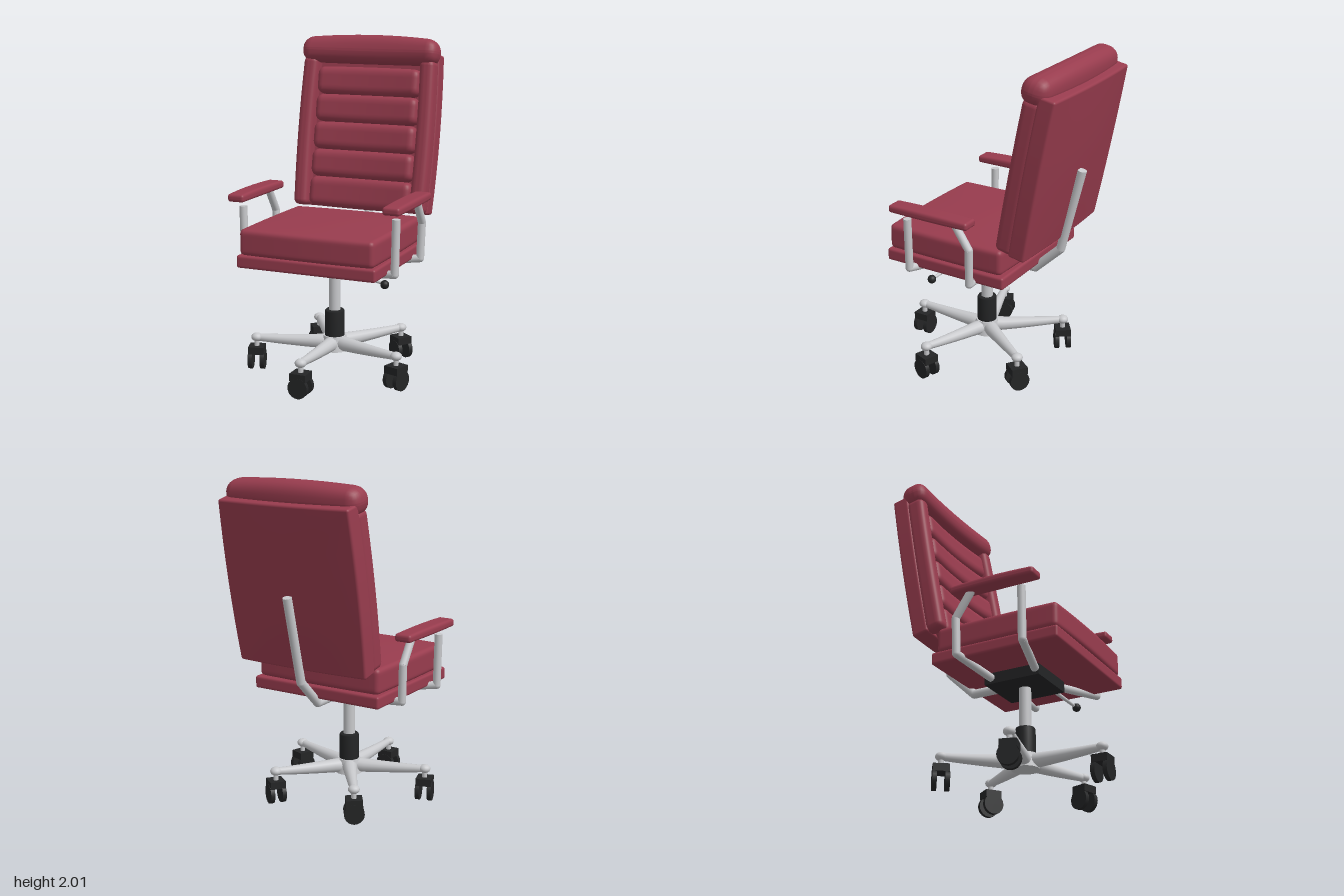
import * as THREE from 'three';
import { mergeVertices } from 'three/addons/utils/BufferGeometryUtils.js';

const mat = (name, color) => {
  const m = new THREE.MeshStandardMaterial({ color });
  m.name = name;
  return m;
};

export function createModel() {
  const red = mat('red leather', 0x983c4e);
  const silver = mat('silver metal', 0xc8c9cc);
  const black = mat('black plastic', 0x242526);
  const chair = new THREE.Group();
  chair.name = 'officeChair';

  const group = (name, parent = chair) => {
    const g = new THREE.Group();
    g.name = name;
    parent.add(g);
    return g;
  };
  const add = (name, geo, material, parent, x = 0, y = 0, z = 0) => {
    const m = new THREE.Mesh(geo, material);
    m.name = name;
    m.position.set(x, y, z);
    parent.add(m);
    return m;
  };

  // Rounded cushion; rule(p, u, v, w) bends it, with u, v, w running -1..1
  const cushion = (size, r, rule) => {
    const n = 14, k = 3;
    const geo = new THREE.BoxGeometry(2, 2, 2, n, n, n);
    geo.deleteAttribute('normal');
    geo.deleteAttribute('uv');
    const pos = geo.attributes.position;
    const p = new THREE.Vector3(), core = new THREE.Vector3();
    const half = new THREE.Vector3(...size).multiplyScalar(0.5);
    const inner = half.clone().subScalar(r);
    const spread = (t, h) => {
      const s = Math.abs(t) * n / 2, flat = n / 2 - k;
      return Math.sign(t) * (s <= flat ? (h - r) * s / flat : h - r + r * (s - flat) / k);
    };
    for (let i = 0; i < pos.count; i++) {
      p.fromBufferAttribute(pos, i);
      p.set(spread(p.x, half.x), spread(p.y, half.y), spread(p.z, half.z));
      core.copy(p).clamp(inner.clone().negate(), inner);
      p.sub(core).setLength(r).add(core);
      if (rule) rule(p, p.x / half.x, p.y / half.y, p.z / half.z);
      pos.setXYZ(i, p.x, p.y, p.z);
    }
    const merged = mergeVertices(geo, 1e-5);
    merged.computeVertexNormals();
    return merged;
  };

  // Straight capped rod between two points
  const rod = (name, a, b, r0, r1, material, parent) => {
    const A = new THREE.Vector3(...a), B = new THREE.Vector3(...b);
    const dir = B.clone().sub(A);
    const m = add(name, new THREE.CylinderGeometry(r1, r0, dir.length(), 16), material, parent);
    m.position.copy(A).add(B).multiplyScalar(0.5);
    m.quaternion.setFromUnitVectors(new THREE.Vector3(0, 1, 0), dir.normalize());
    return m;
  };
  // Bent tube made of rods with round elbows
  const bentTube = (name, pts, r, parent) => {
    const g = group(name, parent);
    pts.slice(1).forEach((b, i) => {
      rod('tubeSection', pts[i], b, r, r, silver, g);
      if (i > 0) add('elbow', new THREE.SphereGeometry(r, 16, 10), silver, g, ...pts[i]);
    });
  };
  const bow = t => 1 - Math.min(1, t * t);

  // Seat
  const seat = group('seat');
  add('seatBase', cushion([0.87, 0.075, 0.81], 0.014), red, seat, 0, 0.743, 0.122);
  add('seatCushion', cushion([0.84, 0.155, 0.775], 0.028, (p, u, v, w) => {
    if (v > 0) p.y += 0.012 * bow(u) * bow(w) * v;
    p.z += 0.012 * w * bow(u);
    p.x += 0.006 * u * bow(w);
  }), red, seat, 0, 0.857, 0.13);

  // Backrest, built upright and leaned back
  const back = group('backrest');
  back.position.set(0, 0.95, -0.22);
  back.rotation.x = -0.19;
  add('backShell', cushion([0.87, 0.985, 0.105], 0.014, (p, u, v, w) => {
    p.x += 0.014 * u * bow(v);
    p.z -= 0.012 * bow(u) + (w < 0 ? 0.012 * bow(v) * bow(u) : 0);
  }), red, back, 0, 0.492, -0.148);
  for (const s of [-1, 1]) {
    add('sideBolster', cushion([0.095, 0.94, 0.12], 0.035, (p, u, v) => {
      p.x += s * 0.01 * bow(v);
    }), red, back, s * 0.387, 0.47, -0.06);
  }
  for (let i = 0; i < 5; i++) {
    const h = i === 0 ? 0.184 : 0.169;
    const y = i === 0 ? 0.095 : 0.275 + (i - 1) * 0.174;
    add('backPad', cushion([0.68, h, 0.125], 0.045, (p, u, v) => {
      p.y += 0.005 * v * bow(u);
      p.z -= 0.018 * bow(u);
    }), red, back, 0, y, -0.072);
  }
  add('headRoll', cushion([0.9, 0.155, 0.172], 0.07, (p, u, v) => {
    p.y += v > 0 ? 0.026 * bow(u) * v : 0;
    p.z -= 0.026 * bow(u);
  }), red, back, 0, 0.985, -0.054);

  // Armrests
  for (const s of [-1, 1]) {
    const arm = group(s > 0 ? 'leftArmrest' : 'rightArmrest');
    add('armPad', cushion([0.105, 0.046, 0.54], 0.016, (p, u, v, w) => {
      if (u * s > 0) p.x += 0.007 * u * bow(w);
      if (v > 0) p.y += 0.006 * bow(w) * v;
    }), red, arm, s * 0.486, 1.095, 0.163);
    bentTube('frontPost', [[s * 0.485, 1.035, 0.335], [s * 0.478, 0.715, 0.335],
      [s * 0.17, 0.675, 0.25]], 0.024, arm);
    bentTube('rearPost', [[s * 0.485, 1.085, 0.01], [s * 0.485, 0.935, -0.09],
      [s * 0.478, 0.715, -0.086], [s * 0.16, 0.675, -0.04]], 0.024, arm);
  }

  // Tilt mechanism, lever and back support
  const tilt = group('mechanism');
  add('mechanismBox', new THREE.BoxGeometry(0.325, 0.068, 0.355), black, tilt, 0, 0.673, 0.093);
  rod('leverRod', [0.15, 0.663, 0.2], [0.38, 0.627, 0.24], 0.013, 0.009, silver, tilt);
  add('leverKnob', new THREE.SphereGeometry(0.026, 16, 12), black, tilt, 0.382, 0.624, 0.243);
  bentTube('backSupport', [[0, 0.672, -0.07], [0, 0.672, -0.25], [0, 0.835, -0.42],
    [0, 1.355, -0.548]], 0.027, tilt);

  // Gas column
  const base = group('base');
  base.position.z = 0.095;
  add('column', new THREE.CylinderGeometry(0.036, 0.036, 0.28, 24), silver, base, 0, 0.51, 0);
  const sleeve = [[0, 0.21], [0.057, 0.21], [0.06, 0.22], [0.06, 0.383], [0.054, 0.392], [0, 0.392]];
  add('columnSleeve', new THREE.LatheGeometry(sleeve.map(q => new THREE.Vector2(...q)), 24), black, base);

  // Five-legged star base with casters
  add('hub', new THREE.CylinderGeometry(0.07, 0.085, 0.09, 20), silver, base, 0, 0.187, 0);
  for (let i = 0; i < 5; i++) {
    const leg = group('starLeg', base);
    leg.rotation.y = i * Math.PI * 2 / 5;
    const beam = new THREE.CylinderGeometry(0.022, 0.045, 0.43, 14, 8).rotateX(Math.PI / 2);
    const pos = beam.attributes.position;
    for (let j = 0; j < pos.count; j++) {
      const t = pos.getZ(j) / 0.43 + 0.5;
      pos.setY(j, pos.getY(j) + 0.012 * t * t);
    }
    beam.computeVertexNormals();
    add('legBeam', beam, silver, leg, 0, 0.188, 0.265);
    add('legTip', new THREE.SphereGeometry(0.035, 16, 10).scale(1, 0.75, 1), silver, leg, 0, 0.201, 0.48);

    const caster = group('caster', leg);
    caster.position.z = 0.48;
    add('stem', new THREE.CylinderGeometry(0.016, 0.016, 0.06, 12), silver, caster, 0, 0.165, 0);
    add('casterHousing', new THREE.BoxGeometry(0.1, 0.045, 0.096), black, caster, 0, 0.124, 0);
    for (const s of [-1, 1]) {
      const wheel = new THREE.CylinderGeometry(0.061, 0.061, 0.026, 20).rotateX(Math.PI / 2);
      add('wheel', wheel, black, caster, 0, 0.061, s * 0.037);
    }
  }
  return chair;
}
